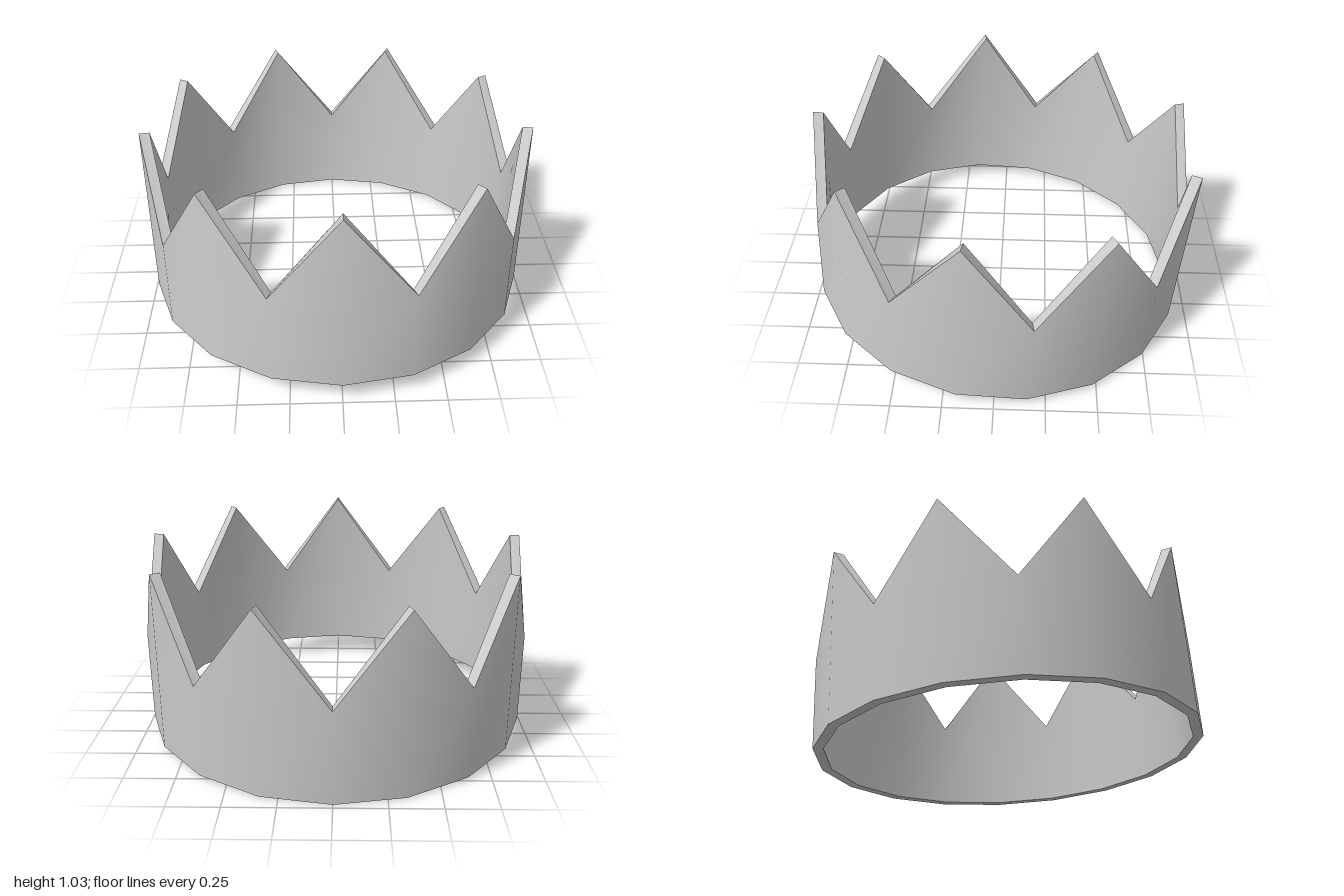
import * as THREE from 'three';
import { toCreasedNormals } from 'three/addons/utils/BufferGeometryUtils.js';

const SIDES = 18;        // nine points, one side up and one side down each
const OUTER = 0.988;
const INNER = 0.936;
const PEAK = 0.915;
const VALLEY = 0.47;
const TILT = 0.0584;

// Ring of four-cornered wall sections whose tops alternate peak and valley
function crownGeometry() {
  const positions = [];
  const indices = [];
  for (let i = 0; i < SIDES; i++) {
    const angle = (i / SIDES) * Math.PI * 2;
    const top = i % 2 === 0 ? PEAK : VALLEY;
    const section = [[OUTER, 0], [OUTER, top], [INNER, top], [INNER, 0]];
    for (const [r, y] of section) {
      positions.push(r * Math.sin(angle), y, r * Math.cos(angle));
    }
    const next = (i + 1) % SIDES;
    for (let k = 0; k < 4; k++) {
      const k2 = (k + 1) % 4;
      const a = i * 4 + k, b = next * 4 + k, c = next * 4 + k2, d = i * 4 + k2;
      indices.push(a, b, c, a, c, d);
    }
  }
  const geometry = new THREE.BufferGeometry();
  geometry.setAttribute('position', new THREE.Float32BufferAttribute(positions, 3));
  geometry.setIndex(indices);
  // Smooth around the band, sharp along its rims
  return toCreasedNormals(geometry, 0.6);
}

export function createModel() {
  const group = new THREE.Group();
  group.name = 'crown';
  const band = new THREE.Mesh(
    crownGeometry(),
    new THREE.MeshStandardMaterial({ color: 0xcccccc })
  );
  band.name = 'pointedBand';
  // The crown leans back slightly, resting on its rear edge
  band.rotation.x = -TILT;
  band.position.set(0, OUTER * Math.sin(TILT), 0.014);
  group.add(band);
  return group;
}
